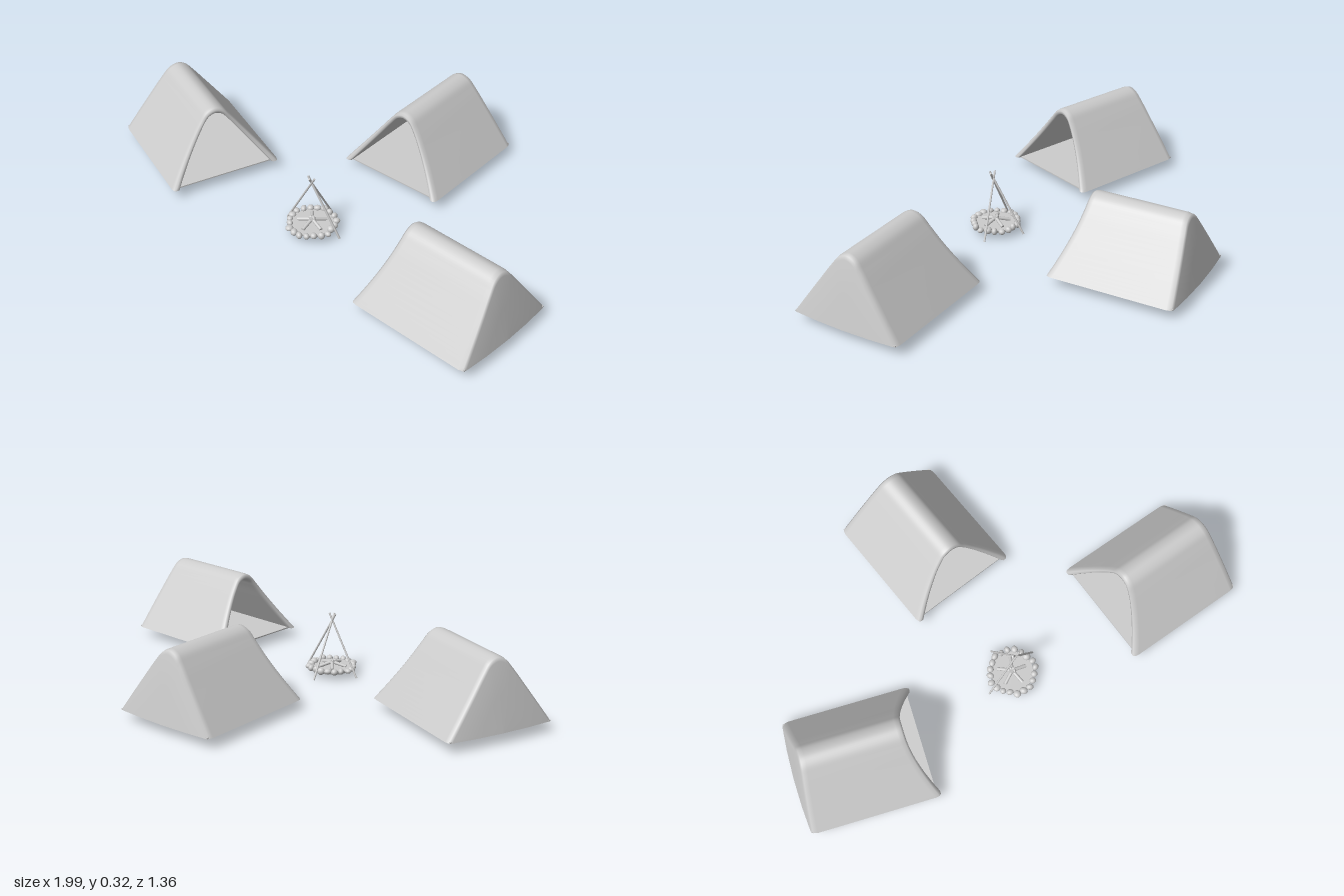
import * as THREE from 'three';

const material = new THREE.MeshStandardMaterial({ color: 0xcccccc, side: THREE.DoubleSide });
const HEIGHT = 0.28;

function addMesh(parent, name, geometry) {
  const mesh = new THREE.Mesh(geometry, material);
  mesh.name = name;
  parent.add(mesh);
  return mesh;
}

function seeded(seed) {
  return () => (seed = (seed * 16807) % 2147483647) / 2147483647;
}

// Canvas shell: one rounded gable section swept from the back wall to the mouth and back inside.
function canvasGeometry() {
  const half = [[0.232, 0], [0.19, 0.0586], [0.12, 0.156], [0.065, 0.232], [0.035, 0.267]];
  const points = [...half, [0, HEIGHT], ...half.slice().reverse().map(([x, y]) => [-x, y])];
  const curve = new THREE.CatmullRomCurve3(points.map(([x, y]) => new THREE.Vector3(x, y, 0)), false, 'centripetal');
  const profile = curve.getPoints(48);

  // Sloping, slightly bulged back wall and a curved, set-back mouth
  const backZ = (x, y) => -0.256 + 0.05 * y / HEIGHT - 0.012 * (1 - (x / 0.232) ** 2);
  const frontZ = (y) => 0.265 - 0.08 * (1 - Math.max(0, 1 - y / HEIGHT) ** 1.6);

  // [width scale, height scale, at front, z offset]
  const sections = [
    [0, 0, 0, 0], [0.5, 0.5, 0, 0], [0.93, 0.94, 0, 0], [0.98, 0.985, 0, 0.006], [1, 1, 0, 0.024],
    [1, 1, 1, -0.024], [0.99, 0.992, 1, -0.008], [0.96, 0.97, 1, 0], [0.9, 0.93, 1, -0.001],
    [0.875, 0.91, 1, -0.008], [0.87, 0.905, 1, -0.02],
    [0.87, 0.905, 0, 0.03], [0.86, 0.9, 0, 0.022], [0.83, 0.87, 0, 0.02], [0.4, 0.4, 0, 0.02], [0, 0, 0, 0.02],
  ];
  const positions = [], index = [], n = profile.length;
  sections.forEach(([sx, sy, front, offset], r) => {
    profile.forEach((p, i) => {
      const x = p.x * sx, y = p.y * sy;
      positions.push(x, y, (front ? frontZ(p.y) : backZ(x, y)) + offset);
      if (r < sections.length - 1 && i < n - 1) {
        const a = r * n + i, b = a + 1, c = a + n, d = c + 1;
        index.push(a, b, c, b, d, c);
      }
    });
  });
  const geometry = new THREE.BufferGeometry();
  geometry.setAttribute('position', new THREE.Float32BufferAttribute(positions, 3));
  geometry.setIndex(index);
  geometry.computeVertexNormals();
  return geometry;
}

function createTent(name, canvas, x, z, turn) {
  const tent = new THREE.Group();
  tent.name = name;
  addMesh(tent, 'canvas', canvas);
  addMesh(tent, 'groundsheet', new THREE.BoxGeometry(0.45, 0.005, 0.505)).position.set(0, 0.002, -0.003);
  tent.position.set(x, 0.042, z);
  tent.rotation.y = turn;
  return tent;
}

// Straight stick between two points
function addStick(parent, name, from, to, radius) {
  const a = new THREE.Vector3(...from), b = new THREE.Vector3(...to);
  const stick = addMesh(parent, name, new THREE.CylinderGeometry(radius, radius, a.distanceTo(b), 10));
  stick.position.copy(a).lerp(b, 0.5);
  stick.quaternion.setFromUnitVectors(new THREE.Vector3(0, 1, 0), b.sub(a).normalize());
}

function createCampfire() {
  const fire = new THREE.Group();
  fire.name = 'campfire';
  const random = seeded(37);

  // Ash bed
  addMesh(fire, 'ashBed', new THREE.CylinderGeometry(0.085, 0.08, 0.012, 32)).position.y = 0.026;

  // Ring of rounded stones
  const stone = new THREE.SphereGeometry(1, 12, 8);
  const count = 20;
  for (let i = 0; i < count; i++) {
    const angle = (i / count) * Math.PI * 2, radius = 0.086 + random() * 0.012;
    const mesh = addMesh(fire, 'stone', stone);
    mesh.scale.set(0.011 + random() * 0.006, 0.01 + random() * 0.005, 0.011 + random() * 0.006);
    mesh.position.set(Math.cos(angle) * radius, 0.03 + random() * 0.006, Math.sin(angle) * radius);
    mesh.rotation.y = random() * 6;
  }

  // Firewood
  for (let i = 0; i < 5; i++) {
    const angle = i * 1.257 + 0.4, c = Math.cos(angle), s = Math.sin(angle);
    addStick(fire, 'log', [c * 0.06, 0.034, s * 0.06], [-c * 0.012, 0.052, -s * 0.012], 0.007);
  }

  // Tripod poles crossing at the top
  addStick(fire, 'tripodPole', [-0.122, 0.002, -0.012], [0.02, 0.255, 0.01], 0.004);
  addStick(fire, 'tripodPole', [0.125, 0.002, 0], [-0.012, 0.255, 0.004], 0.004);
  addStick(fire, 'tripodPole', [0.015, 0.004, -0.125], [0.002, 0.255, 0.02], 0.004);
  fire.position.set(0.015, 0, 0.25);
  return fire;
}

export function createModel() {
  const model = new THREE.Group();
  model.name = 'campsite';
  const canvas = canvasGeometry();
  model.add(
    createTent('backTent', canvas, 0.185, -0.39, -0.161),
    createTent('rightTent', canvas, -0.66, 0.052, 1.035),
    createTent('leftTent', canvas, 0.695, 0.405, -1.782),
    createCampfire(),
  );
  return model;
}
